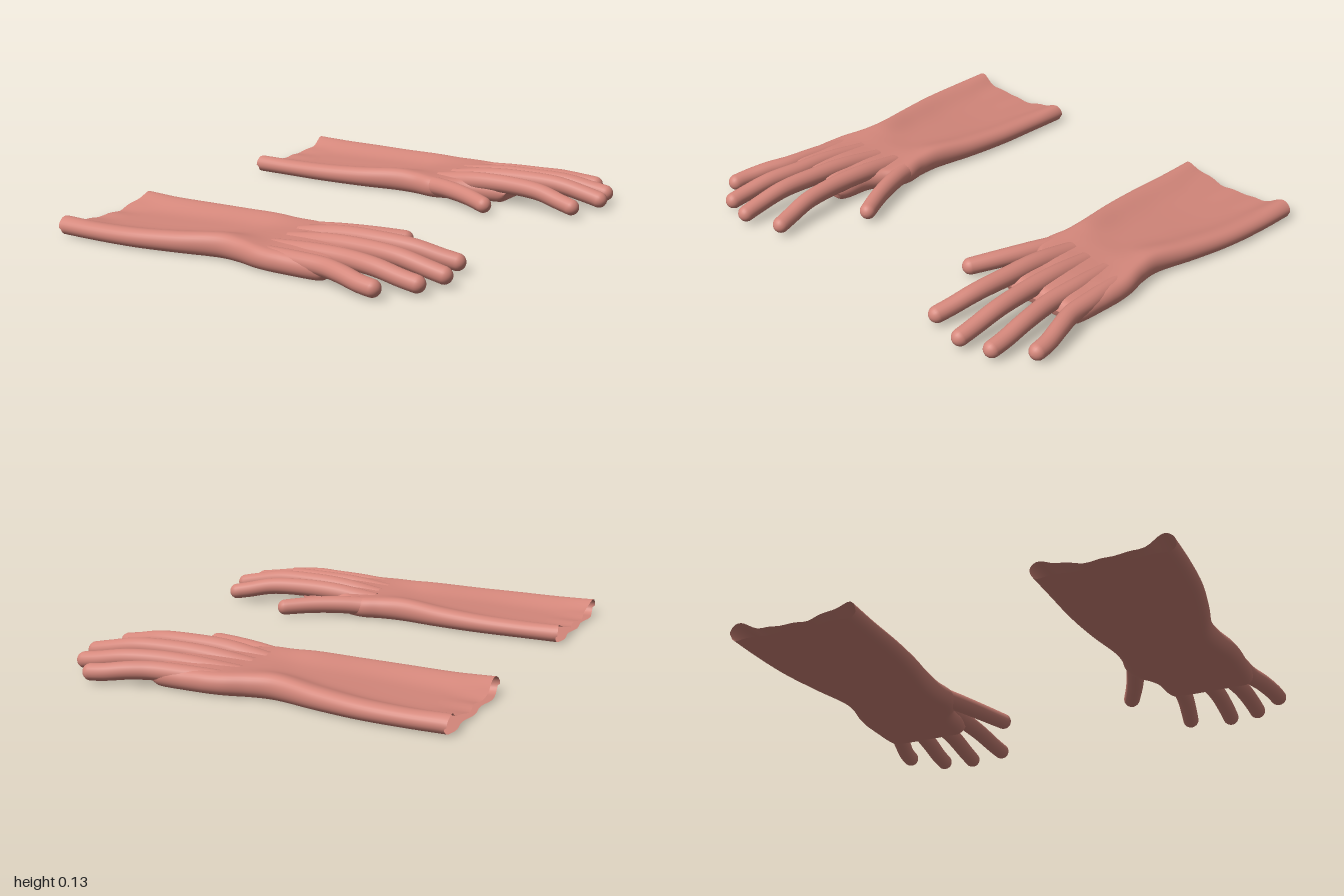
import * as THREE from 'three';

const V = (x, y, z) => new THREE.Vector3(x, y, z);
const clamp01 = v => Math.min(1, Math.max(0, v));

// Skin a list of equal-length closed rings; mirror = -1 gives the opposite hand
function loft(rings, mirror) {
  const n = rings[0].length, pos = [], idx = [];
  for (const ring of rings) for (const p of ring) pos.push(p.x, p.y, p.z * mirror);
  for (let i = 0; i < rings.length - 1; i++) {
    for (let j = 0; j < n; j++) {
      const a = i * n + j, b = i * n + (j + 1) % n, c = a + n, d = b + n;
      if (mirror > 0) idx.push(a, b, c, b, d, c);
      else idx.push(a, c, b, b, c, d);
    }
  }
  const g = new THREE.BufferGeometry();
  g.setAttribute('position', new THREE.Float32BufferAttribute(pos, 3));
  g.setIndex(idx);
  g.computeVertexNormals();
  return g;
}

// Stations along the arm: x, inner edge z, outer edge z, middle height, side roll height
const STATIONS = [
  [-0.89, 0.39, 0.995, 0.03, 0.075],
  [-0.7, 0.392, 0.992, 0.035, 0.075],
  [-0.5, 0.394, 0.977, 0.045, 0.08],
  [-0.3, 0.41, 0.94, 0.06, 0.09],
  [-0.1, 0.44, 0.895, 0.075, 0.104],
  [0, 0.44, 0.902, 0.085, 0.1],
  [0.1, 0.425, 0.925, 0.09, 0.095],
  [0.17, 0.445, 0.932, 0.095, 0.092],
  [0.22, 0.48, 0.932, 0.098, 0.092],
  [0.28, 0.505, 0.93, 0.1, 0.09],
  [0.38, 0.512, 0.925, 0.098, 0.09],
  [0.45, 0.53, 0.91, 0.09, 0.085],
];

// Flattened sleeve and palm: thick rolls along both sides, sagging in between
function sleeveRings() {
  const edges = new THREE.CatmullRomCurve3(STATIONS.map(s => V(s[0], s[1], s[2])));
  const heights = new THREE.CatmullRomCurve3(STATIONS.map(s => V(s[0], s[3], s[4])));
  const rings = [], steps = 80, half = 36;
  for (let i = 0; i <= steps; i++) {
    const u = i / steps;
    const { x, y: z0, z: z1 } = edges.getPoint(u);
    const { y: mid, z: roll } = heights.getPoint(u);
    const e = clamp01((u - 0.94) / 0.06);
    const close = Math.sqrt(1 - e * e);
    const hem = clamp01(1 - u / 0.08);
    const ring = [];
    for (let j = 0; j < half * 2; j++) {
      const top = j <= half;
      const t = (1 - Math.cos(Math.PI * (top ? j : 2 * half - j) / half)) / 2;
      const z = z0 + (z1 - z0) * t;
      const d = Math.min(z - z0, z1 - z);
      const edgeY = roll * 0.5;
      const k = 1 - clamp01(d / 0.042);
      const round = Math.sqrt(1 - k * k);
      const bump = Math.exp(-((Math.max(0, d - 0.045) / 0.085) ** 2));
      const wrinkle = hem * round * 0.004 * Math.sin(z * 47 + 1);
      const h = mid + (roll - mid) * bump + wrinkle;
      let y = top ? edgeY + (h - edgeY) * round : edgeY * (1 - round);
      y = 0.05 + (y - 0.05) * close;
      // slightly uneven hem
      const ragged = hem * 0.007 * (1 + Math.sin(z * 31 + (top ? 0 : 2)));
      ring.push(V(x + ragged, y, z));
    }
    rings.push(ring);
  }
  return rings;
}

// Tapered finger with a round tip, following a smooth path
function fingerRings(points, r0, r1) {
  const curve = new THREE.CatmullRomCurve3(points.map(p => V(...p)));
  const steps = 44, tipSteps = 8, sides = 20, rings = [];
  const body = steps - tipSteps;
  const tipStart = 1 - r1 / curve.getLength();
  for (let i = 0; i <= steps; i++) {
    const a = clamp01((i - body) / tipSteps) * Math.PI / 2;
    const u = clamp01(tipStart * Math.min(1, i / body) + (1 - tipStart) * Math.sin(a));
    const c = curve.getPointAt(u), t = curve.getTangentAt(u);
    const side = t.clone().cross(V(0, 1, 0)).normalize();
    const up = side.clone().cross(t);
    const r = (r0 + (r1 - r0) * u) * Math.cos(a);
    const ring = [];
    for (let j = 0; j < sides; j++) {
      const w = j / sides * Math.PI * 2;
      ring.push(c.clone().addScaledVector(side, -Math.cos(w) * r).addScaledVector(up, Math.sin(w) * r));
    }
    rings.push(ring);
  }
  return rings;
}

// Path points (x, y, z) from inside the palm to the tip, then base and tip radius
const FINGERS = {
  thumb: [[[-0.08, 0.052, 0.5], [0.08, 0.052, 0.475], [0.2, 0.056, 0.437], [0.33, 0.053, 0.385], [0.48, 0.04, 0.312]], 0.046, 0.036],
  indexFinger: [[[0.08, 0.052, 0.56], [0.28, 0.083, 0.55], [0.46, 0.09, 0.546], [0.62, 0.083, 0.533], [0.74, 0.058, 0.512], [0.835, 0.04, 0.492]], 0.046, 0.036],
  middleFinger: [[[0.1, 0.052, 0.66], [0.3, 0.082, 0.67], [0.46, 0.091, 0.676], [0.64, 0.088, 0.685], [0.78, 0.063, 0.686], [0.885, 0.041, 0.682]], 0.045, 0.036],
  ringFinger: [[[0.1, 0.05, 0.77], [0.3, 0.072, 0.785], [0.46, 0.078, 0.791], [0.62, 0.074, 0.812], [0.75, 0.054, 0.823], [0.85, 0.04, 0.824]], 0.044, 0.036],
  littleFinger: [[[0.1, 0.048, 0.86], [0.3, 0.06, 0.88], [0.44, 0.063, 0.893], [0.54, 0.06, 0.923], [0.64, 0.048, 0.95], [0.735, 0.04, 0.96]], 0.044, 0.036],
};

export function createModel() {
  const rubber = new THREE.MeshStandardMaterial({ color: 0xd4877b, side: THREE.DoubleSide });
  rubber.name = 'pink rubber';

  const model = new THREE.Group();
  model.name = 'pairOfGloves';
  for (const mirror of [1, -1]) {
    const glove = new THREE.Group();
    glove.name = mirror > 0 ? 'frontGlove' : 'backGlove';
    const add = (name, rings) => {
      const mesh = new THREE.Mesh(loft(rings, mirror), rubber);
      mesh.name = name;
      glove.add(mesh);
    };
    add('sleeveAndPalm', sleeveRings());
    for (const [name, args] of Object.entries(FINGERS)) add(name, fingerRings(...args));
    model.add(glove);
  }
  return model;
}
